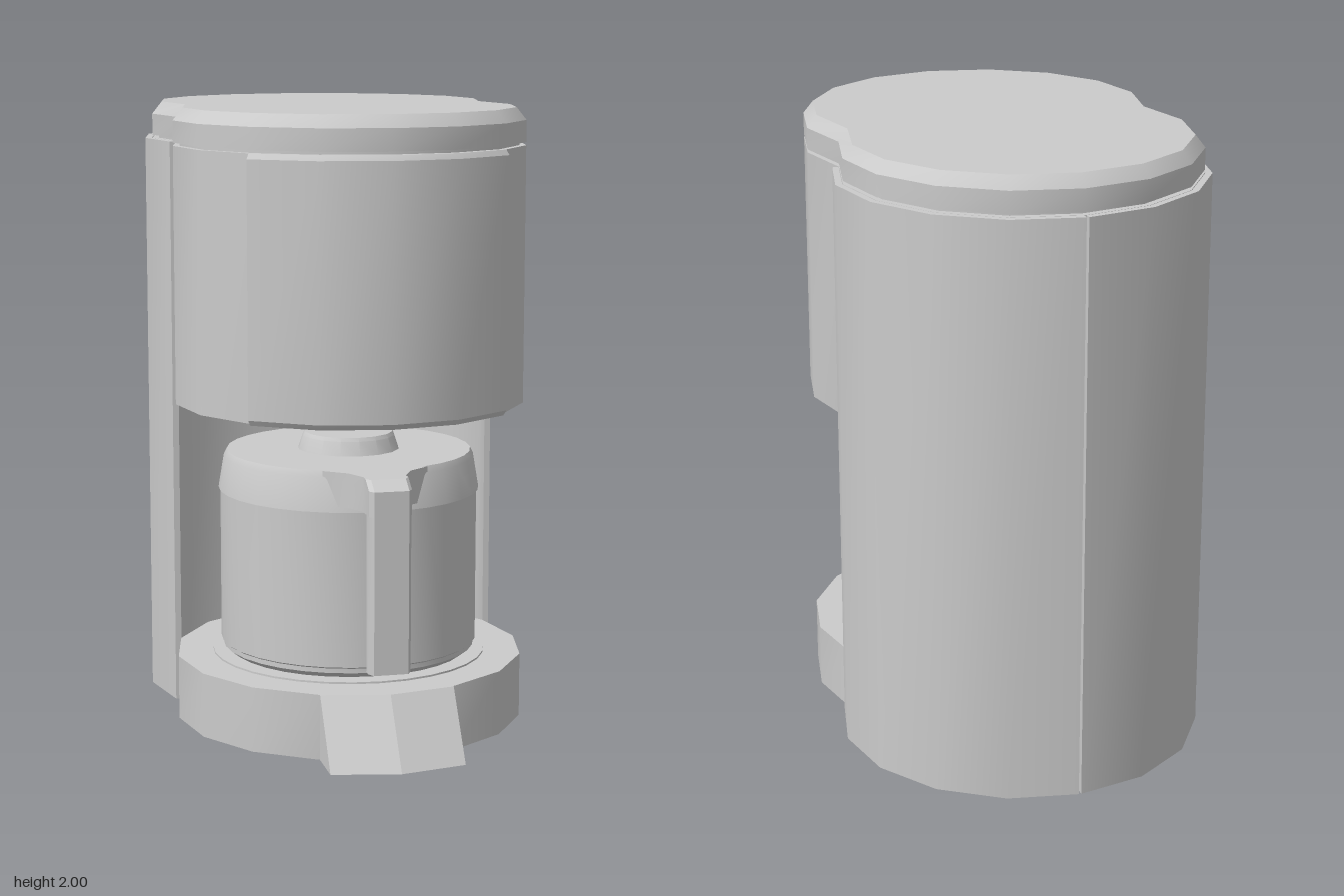
import * as THREE from 'three';
import { toCreasedNormals } from 'three/addons/utils/BufferGeometryUtils.js';

const FRONT = 0.15, BACK = -0.28, WAIST = -0.065, R = 0.572;

// Points [x, z] on an arc, angle in degrees, 0 = +x, 90 = back
function arc(r, cz, from, to, n) {
  return Array.from({ length: n + 1 }, (_, i) => {
    const a = THREE.MathUtils.degToRad(from + ((to - from) * i) / n);
    return [r * Math.cos(a), cz - r * Math.sin(a)];
  });
}
const disc = (r, n = 16) => arc(r, FRONT, 0, 360, n).slice(0, -1);

// Pinched outline made of two overlapping sixteen-sided circles
const outline = (r) => [
  ...arc(r, BACK, 0, 180, 8), [-r * 0.92, WAIST],
  ...arc(r, FRONT, 180, 360, 8), [r * 0.92, WAIST],
];

// Solid through stacked [y, points] rings, closed at both ends
function loft(rings, crease = 0.5) {
  let flat = rings[0][1].map(([x, z]) => new THREE.Vector2(x, -z));
  if (THREE.ShapeUtils.isClockWise(flat)) {
    rings = rings.map(([y, p]) => [y, [...p].reverse()]);
    flat = flat.reverse();
  }
  const n = flat.length, pos = [], idx = [];
  for (const [y, p] of rings) for (const [x, z] of p) pos.push(x, y, z);
  for (let k = 0; k < rings.length - 1; k++) {
    for (let i = 0; i < n; i++) {
      const j = (i + 1) % n, a = k * n, b = a + n;
      idx.push(a + i, a + j, b + j, a + i, b + j, b + i);
    }
  }
  const top = (rings.length - 1) * n;
  for (const [a, b, c] of THREE.ShapeUtils.triangulateShape(flat, [])) {
    idx.push(a, c, b, top + a, top + b, top + c);
  }
  const g = new THREE.BufferGeometry();
  g.setAttribute('position', new THREE.Float32BufferAttribute(pos, 3));
  g.setIndex(idx);
  return toCreasedNormals(g, crease);
}
const slab = (points, y0, y1) => loft([[y0, points], [y1, points]]);

function lathe(profile, segments = 32) {
  const g = new THREE.LatheGeometry(profile.map(([r, y]) => new THREE.Vector2(r, y)), segments);
  return toCreasedNormals(g.translate(0, 0, FRONT), 0.4);
}

export function createModel() {
  const group = new THREE.Group();
  const material = new THREE.MeshStandardMaterial({ color: 0xcccccc, side: THREE.DoubleSide });
  const add = (name, geometry, parent = group) => {
    const mesh = new THREE.Mesh(geometry, material);
    mesh.name = name;
    parent.add(mesh);
    return mesh;
  };

  // Base with hot plate and sloping front foot
  add('base', slab(disc(R), 0, 0.21));
  add('hotPlate', slab(disc(0.45, 32), -0.001, 0.216));
  const foot = (side, tip, rear) => [[-0.215, rear], [-0.215, side], [0, tip], [0.215, side], [0.215, rear]];
  add('frontRamp', loft([[0, foot(0.83, 0.873, 0.6)], [0.21, foot(0.685, 0.728, 0.6)]], 0.2));

  // Two curved rear shell halves, meeting at a narrow back seam
  for (const s of [1, -1]) {
    const wall = (r) => {
      const p = [[r * 0.92, WAIST], ...arc(r, BACK, 0, 90, 4)];
      p[p.length - 1][0] = 0.004;
      return p.map(([x, z]) => [s * x, z]);
    };
    add(s > 0 ? 'leftRearShell' : 'rightRearShell',
      slab([...wall(0.596), ...wall(0.574).reverse()], 0, 1.88));
  }

  // Upper housing, front panel and lid
  add('upperHousing', slab(outline(R), 1.05, 1.88));
  const panel = (r) => [...arc(r, FRONT, 225, 315, 4), ...arc(0.56, FRONT, 315, 225, 4)];
  add('frontPanel', loft([
    [1.045, panel(0.574)], [1.062, panel(0.585)], [1.863, panel(0.585)], [1.88, panel(0.574)],
  ]));
  add('lidNeck', slab(outline(0.55), 1.87, 1.9));
  add('lid', loft([[1.89, outline(R)], [1.96, outline(R)], [2, outline(0.54)]]));
  add('nozzle', lathe([[0, 0.96], [0.1, 0.96], [0.117, 1.055], [0, 1.055]], 16));

  // Carafe
  const carafe = new THREE.Group();
  carafe.name = 'carafe';
  group.add(carafe);
  add('jug', lathe([
    [0, 0.212], [0.385, 0.212], [0.415, 0.235], [0.415, 0.25], [0.422, 0.255], [0.422, 0.76], [0, 0.76],
  ]), carafe);
  add('collar', lathe([[0, 0.757], [0.428, 0.757], [0.41, 0.865], [0.4, 0.885], [0, 0.885]]), carafe);
  add('carafeLidKnob', lathe([[0.14, 0.88], [0.14, 0.885], [0.167, 0.885], [0.152, 0.93], [0.145, 0.942], [0, 0.942]], 16), carafe);

  // Handle: arm flaring into the collar, then a straight grip
  const arm = (z) => [
    [-0.17, 0.52], [-0.1, 0.575], [-0.068, 0.64], [-0.068, z - 0.02], [-0.055, z],
    [0.055, z], [0.068, z - 0.02], [0.068, 0.64], [0.1, 0.575], [0.17, 0.52],
  ];
  add('handleArm', loft([[0.775, arm(0.735)], [0.855, arm(0.735)], [0.885, arm(0.69)]]), carafe);
  add('handleGrip', slab([[-0.068, 0.685], [-0.068, 0.71], [-0.055, 0.735], [0.055, 0.735], [0.068, 0.71], [0.068, 0.685]],
    0.275, 0.8), carafe);

  return group;
}
